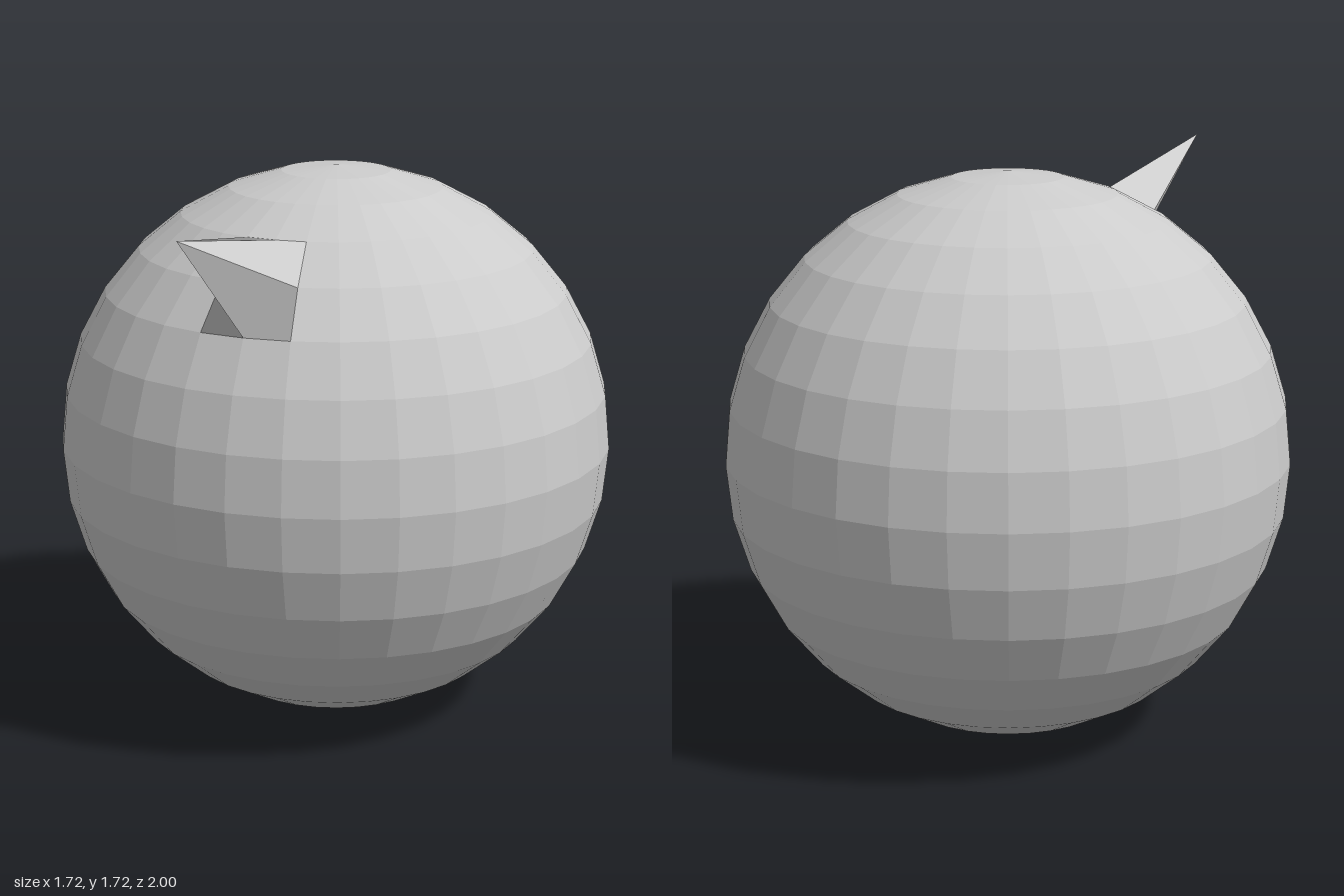
import * as THREE from 'three';

const RADIUS = 0.8575, COLS = 32, ROWS = 16;

// One flat normal for each facet, shared by both triangles of a four-sided facet.
function facetNormals(geometry) {
  const pos = geometry.attributes.position;
  const normals = new Float32Array(pos.count * 3);
  const corner = (i) => new THREE.Vector3().fromBufferAttribute(pos, i);
  const cap = COLS * 3; // the rows at both poles are single triangles
  for (let start = 0; start < pos.count;) {
    const size = start < cap || start >= pos.count - cap ? 3 : 6;
    const n = new THREE.Vector3();
    for (let t = start; t < start + size; t += 3) {
      const a = corner(t);
      n.add(corner(t + 1).sub(a).cross(corner(t + 2).sub(a)));
    }
    n.normalize();
    for (let i = start; i < start + size; i++) n.toArray(normals, i * 3);
    start += size;
  }
  geometry.setAttribute('normal', new THREE.BufferAttribute(normals, 3));
}

export function createModel() {
  const group = new THREE.Group();
  group.name = 'spikedBall';

  // Faceted ball
  const sphere = new THREE.SphereGeometry(RADIUS, COLS, ROWS);
  sphere.translate(0, 0.86, -0.1425);

  // Spike: the grid point at the front, 45 degrees up, is pulled outwards
  const row = ROWS / 4, col = COLS / 4;
  sphere.attributes.position.setXYZ(row * (COLS + 1) + col, 0, 1.697, 1);

  const geometry = sphere.toNonIndexed();
  facetNormals(geometry);

  const ball = new THREE.Mesh(geometry, new THREE.MeshStandardMaterial({ color: 0xcccccc }));
  ball.name = 'ballWithSpike';
  group.add(ball);
  return group;
}
